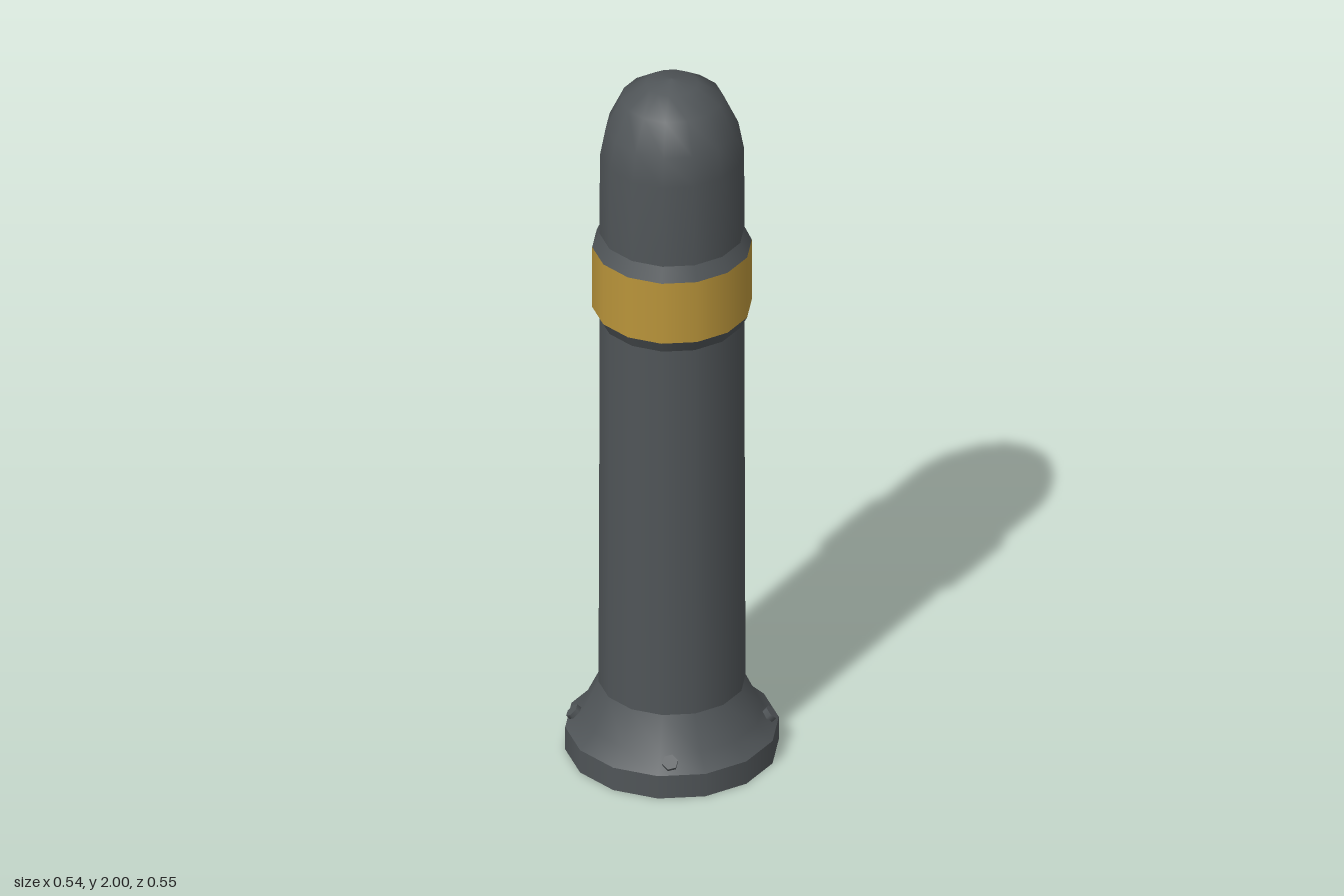
import * as THREE from 'three';

const SIDES = 14;

export function createModel() {
  const group = new THREE.Group();
  const dark = new THREE.MeshStandardMaterial({ color: 0x505558, side: THREE.DoubleSide });
  const gold = new THREE.MeshStandardMaterial({ color: 0xb9943a, side: THREE.DoubleSide });

  // Turned section of the post, profile given as [radius, height] from bottom to top
  const turned = (name, profile, material) => {
    const points = profile.map(([r, y]) => new THREE.Vector2(r, y));
    const mesh = new THREE.Mesh(new THREE.LatheGeometry(points, SIDES), material);
    mesh.name = name;
    group.add(mesh);
  };

  // Hollow foot, open underneath
  turned('baseRim', [[0.277, 0], [0.277, 0.067]], dark);
  turned('baseFlare', [[0.277, 0.067], [0.235, 0.108], [0.191, 0.2]], dark);

  // Shaft with a raised collar carrying the band
  turned('shaft', [[0.191, 0.2], [0.189, 0.62], [0.188, 1.29]], dark);
  turned('lowerCollar', [[0.188, 1.29], [0.207, 1.325]], dark);
  turned('band', [[0.207, 1.325], [0.207, 1.505]], gold);
  turned('upperCollar', [[0.207, 1.505], [0.188, 1.545]], dark);

  // Rounded top
  turned('domeTop', [
    [0.188, 1.545], [0.187, 1.78], [0.172, 1.86], [0.132, 1.945], [0.068, 1.987], [0, 2],
  ], dark);

  // Four hex bolts through the sloped shoulder of the foot
  const slope = new THREE.Vector2(0.041, 0.042).normalize();
  for (let i = 0; i < 4; i++) {
    const a = Math.PI / 4 + (i * Math.PI) / 2;
    const bolt = new THREE.Mesh(new THREE.CylinderGeometry(0.021, 0.021, 0.034, 6), dark);
    bolt.name = 'bolt' + (i + 1);
    bolt.position.set(Math.sin(a) * 0.247, 0.088, Math.cos(a) * 0.247);
    const normal = new THREE.Vector3(Math.sin(a) * slope.x, slope.y, Math.cos(a) * slope.x);
    bolt.quaternion.setFromUnitVectors(new THREE.Vector3(0, 1, 0), normal);
    group.add(bolt);
  }

  return group;
}
